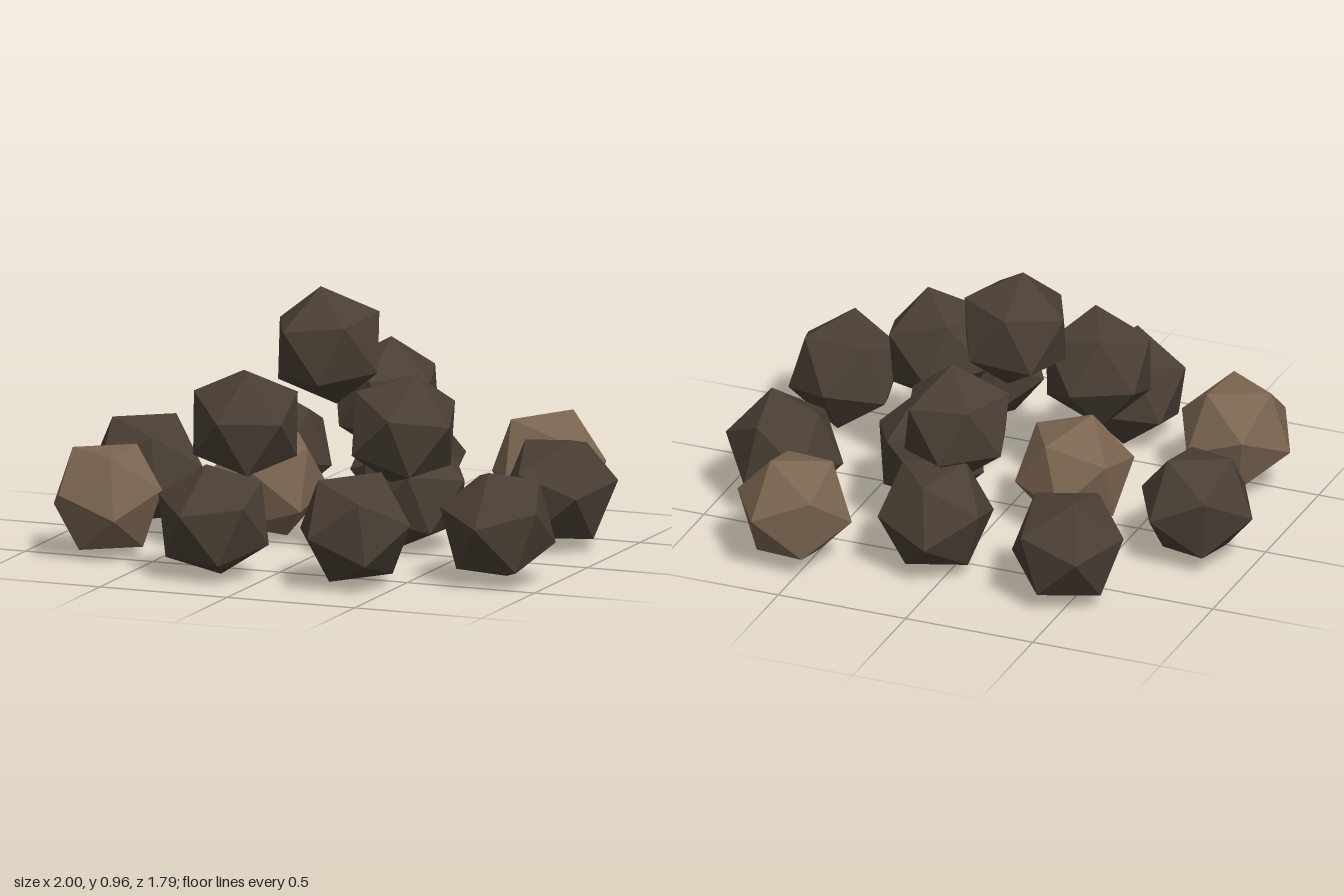
import * as THREE from 'three';

const RADIUS = 0.222;
const UP = new THREE.Vector3(0, 1, 0);

// Each boulder: centre [x, y, z], pole axis [x, y, z], spin about the axis in degrees, light tint
const boulders = {
  outerRock: [
    [[-0.78, 0.225, -0.12], [1, 0.1, 0.03], 10],
    [[-0.48, 0.23, -0.62], [-0.25, 0.65, 0.72], 20],
    [[0.06, 0.23, -0.57], [0.2, 0.25, 1], 60],
    [[0.56, 0.225, -0.70], [1, 0.15, -0.06], 20, true],
    [[0.77, 0.23, -0.29], [1, 0.2, -0.2], 70],
    [[0.81, 0.23, 0.39], [0, 0.08, 1], 90],
    [[0.35, 0.23, 0.63], [1, 0.1, 0.04], 90],
    [[-0.19, 0.225, 0.67], [-0.22, 0.2, 1], 75],
    [[-0.69, 0.23, 0.465], [1, 0.2, 0.05], 0, true],
  ],
  innerRock: [
    [[-0.27, 0.23, -0.05], [0.1, 0.3, 1], 40, true],
    [[0.28, 0.23, -0.08], [1, 0.25, 0.1], 30],
  ],
  middleRock: [
    [[0.06, 0.51, -0.37], [0.1, 1, 0.05], 55],
    [[-0.235, 0.5, 0.26], [-0.1, 0.15, 1], 70],
    [[0.35, 0.51, 0.175], [0.13, 0.3, 1], 80],
  ],
  topRock: [
    [[-0.03, 0.75, -0.035], [-0.1, 1, 0.1], 25],
  ],
};

export function createModel() {
  const group = new THREE.Group();
  group.name = 'rockPile';

  // Twenty-sided rock turned so that one corner is the pole on +y
  const geometry = new THREE.IcosahedronGeometry(RADIUS, 0);
  geometry.rotateZ(-Math.atan(2 / (1 + Math.sqrt(5))));

  const dark = new THREE.MeshStandardMaterial({ color: 0x4a3f35, flatShading: true });
  const light = new THREE.MeshStandardMaterial({ color: 0x7a6550, flatShading: true });

  for (const [name, list] of Object.entries(boulders)) {
    list.forEach(([centre, axis, spin, isLight], i) => {
      const rock = new THREE.Mesh(geometry, isLight ? light : dark);
      rock.name = `${name}${i + 1}`;
      rock.position.set(...centre);
      rock.quaternion.setFromUnitVectors(UP, new THREE.Vector3(...axis).normalize());
      rock.rotateY(THREE.MathUtils.degToRad(spin));
      group.add(rock);
    });
  }
  return group;
}
